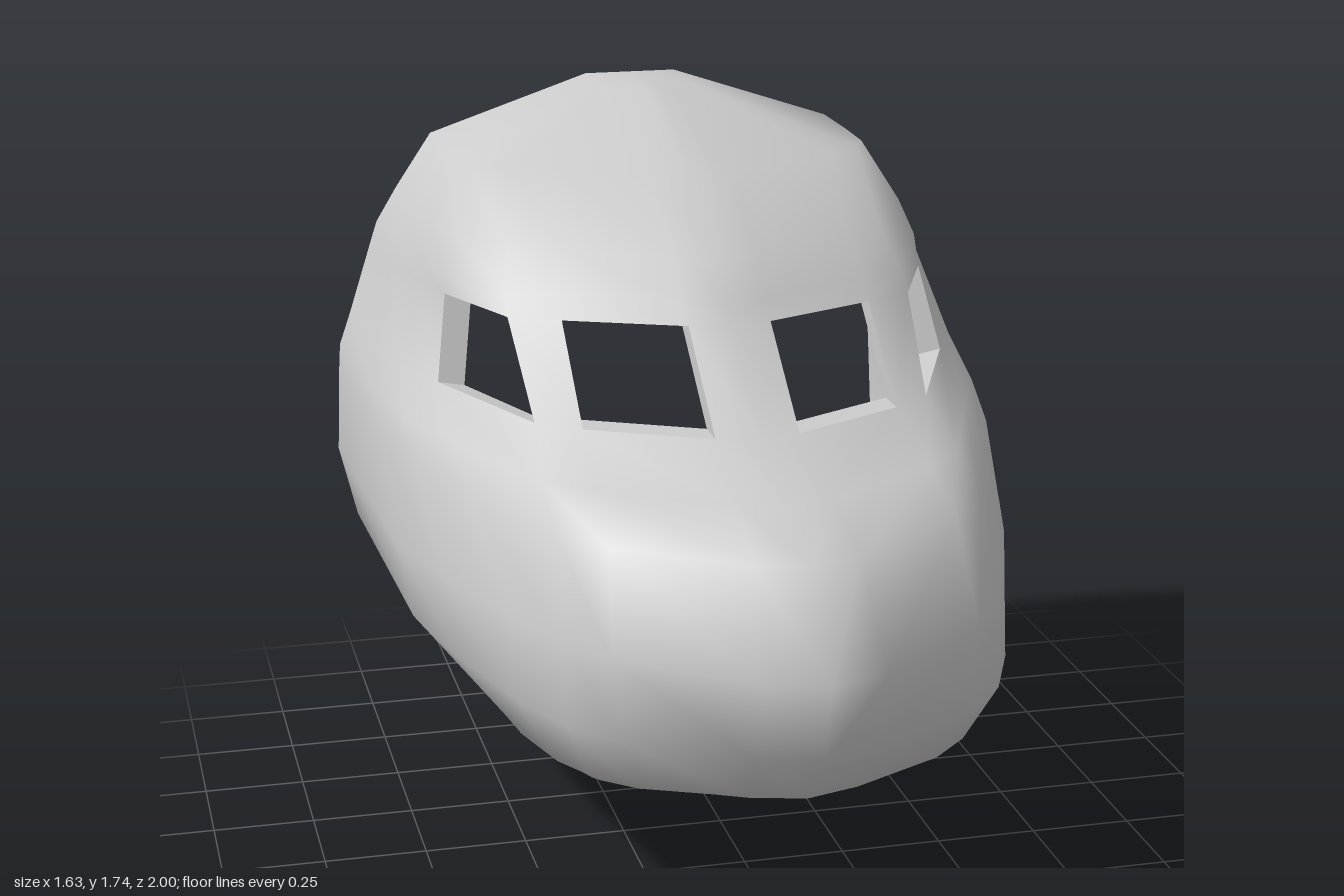
import * as THREE from 'three';
import { toCreasedNormals } from 'three/addons/utils/BufferGeometryUtils.js';

// Horizontal slices: height, front z on the centreline, half width at the rear
const LEVELS = [
  [0, -1, 0], [0.025, -0.72, 0.13], [0.06, -0.3, 0.25], [0.13, 0.04, 0.425], [0.18, 0.21, 0.47],
  [0.24, 0.4, 0.52], [0.35, 0.66, 0.6], [0.41, 0.81, 0.645], [0.56, 0.95, 0.77], [0.75, 1, 0.815],
  [0.97, 0.84, 0.805], [1.04, 0.63, 0.8], [1.125, 0.385, 0.77], [1.325, 0.1, 0.705], [1.37, 0.065, 0.69],
  [1.46, -0.02, 0.635], [1.6, -0.28, 0.54], [1.74, -0.71, 0.12], [1.74, -1, 0],
];
const WINDOW_ROW = 12;
const WINDOW_COLS = [1, 3]; // front pane, side pane

// Plan outline of a slice at key heights: width fraction u, depth fraction t
const PLANS = [
  { y: 0.12, u: [0, 0.15, 0.5, 0.65, 0.85, 0.96, 1.03, 1], t: [0, 0.02, 0.08, 0.13, 0.24, 0.36, 0.57, 1] },
  { y: 0.38, u: [0, 0.2, 0.55, 0.7, 0.8, 0.9, 0.97, 1], t: [0, 0.02, 0.08, 0.13, 0.22, 0.38, 0.57, 1] },
  { y: 0.75, u: [0, 0.17, 0.52, 0.62, 0.73, 0.86, 0.95, 1], t: [0, 0.02, 0.135, 0.2, 0.3, 0.45, 0.575, 1] },
  { y: 1.125, u: [0, 0.13, 0.494, 0.623, 0.838, 0.93, 0.97, 1], t: [0, 0.018, 0.126, 0.184, 0.473, 0.58, 0.75, 1] },
  { y: 1.325, u: [0, 0.142, 0.539, 0.709, 0.865, 0.93, 0.98, 1], t: [0, 0.005, 0.118, 0.175, 0.414, 0.56, 0.75, 1] },
  { y: 1.6, u: [0, 0.18, 0.6, 0.78, 0.93, 0.99, 1, 1], t: [0, 0.03, 0.2, 0.29, 0.39, 0.48, 0.7, 1] },
];
const COLS = 8;

function outerPoint([y, zFront, halfWidth], j) {
  let k = 0;
  while (k < PLANS.length - 2 && y > PLANS[k + 1].y) k++;
  const a = PLANS[k], b = PLANS[k + 1];
  const f = THREE.MathUtils.clamp((y - a.y) / (b.y - a.y), 0, 1);
  const u = THREE.MathUtils.lerp(a.u[j], b.u[j], f);
  const t = THREE.MathUtils.lerp(a.t[j], b.t[j], f);
  return new THREE.Vector3(halfWidth * u, y, zFront - (zFront + 1) * t);
}

// Wall thickness: front columns move back, side columns move in (thicker to the rear and low down),
// roof and floor move vertically
const SIDE_WALL = [0, 0, 0, 0.055, 0.065, 0.085, 0.1, 0.13];
function innerPoint(p, j) {
  const q = p.clone();
  const roof = THREE.MathUtils.clamp((p.y - 1.325) / 0.415, 0, 1);
  const floor = THREE.MathUtils.clamp((1.125 - p.y) / 1.125, 0, 1);
  if (j < 3) q.z = Math.max(-1, q.z - 0.085);
  else q.x = Math.max(0, q.x - THREE.MathUtils.lerp(SIDE_WALL[j], 0.08, roof));
  q.y += 0.1 * floor ** 3 - 0.085 * roof;
  if (j >= 3 && floor === 0 && roof === 0) q.y -= 0.012;
  return q;
}

// Collects quads together with their mirror images
class Patch {
  constructor() { this.positions = []; }
  triangle(a, b, c) {
    const area = b.clone().sub(a).cross(c.clone().sub(a)).length();
    if (area < 1e-7) return;
    for (const p of [a, b, c]) this.positions.push(p.x, p.y, p.z);
    for (const p of [a, c, b]) this.positions.push(-p.x, p.y, p.z);
  }
  quad(a, b, c, d) {
    this.triangle(a, b, c);
    this.triangle(a, c, d);
  }
  mesh(name, material, crease) {
    const geometry = new THREE.BufferGeometry();
    geometry.setAttribute('position', new THREE.Float32BufferAttribute(this.positions, 3));
    const mesh = new THREE.Mesh(toCreasedNormals(geometry, crease), material);
    mesh.name = name;
    return mesh;
  }
}

export function createModel() {
  const outer = LEVELS.map((level) => Array.from({ length: COLS }, (_, j) => outerPoint(level, j)));
  const inner = outer.map((row) => row.map(innerPoint));
  const skin = new Patch(), lining = new Patch(), frames = new Patch(), rim = new Patch();

  for (let i = 0; i < LEVELS.length - 1; i++) {
    for (let j = 0; j < COLS - 1; j++) {
      const corners = (g) => [g[i][j], g[i][j + 1], g[i + 1][j + 1], g[i + 1][j]];
      const o = corners(outer), n = corners(inner);
      if (i === WINDOW_ROW && WINDOW_COLS.includes(j)) {
        // Window opening: four reveal faces through the wall
        for (let k = 0; k < 4; k++) {
          const m = (k + 1) % 4;
          frames.quad(o[k], o[m], n[m], n[k]);
        }
      } else {
        skin.quad(...o);
        lining.quad(n[3], n[2], n[1], n[0]);
      }
    }
    // Flat rear edge of the wall
    const e = COLS - 1;
    rim.quad(outer[i][e], inner[i][e], inner[i + 1][e], outer[i + 1][e]);
  }

  const material = new THREE.MeshStandardMaterial({ color: 0xcccccc, side: THREE.DoubleSide });
  const group = new THREE.Group();
  group.name = 'aircraftNose';
  group.add(
    skin.mesh('outerSkin', material, 1.05),
    lining.mesh('innerLining', material, 1.05),
    frames.mesh('windowFrames', material, 0.3),
    rim.mesh('rearRim', material, 0.3),
  );
  return group;
}
